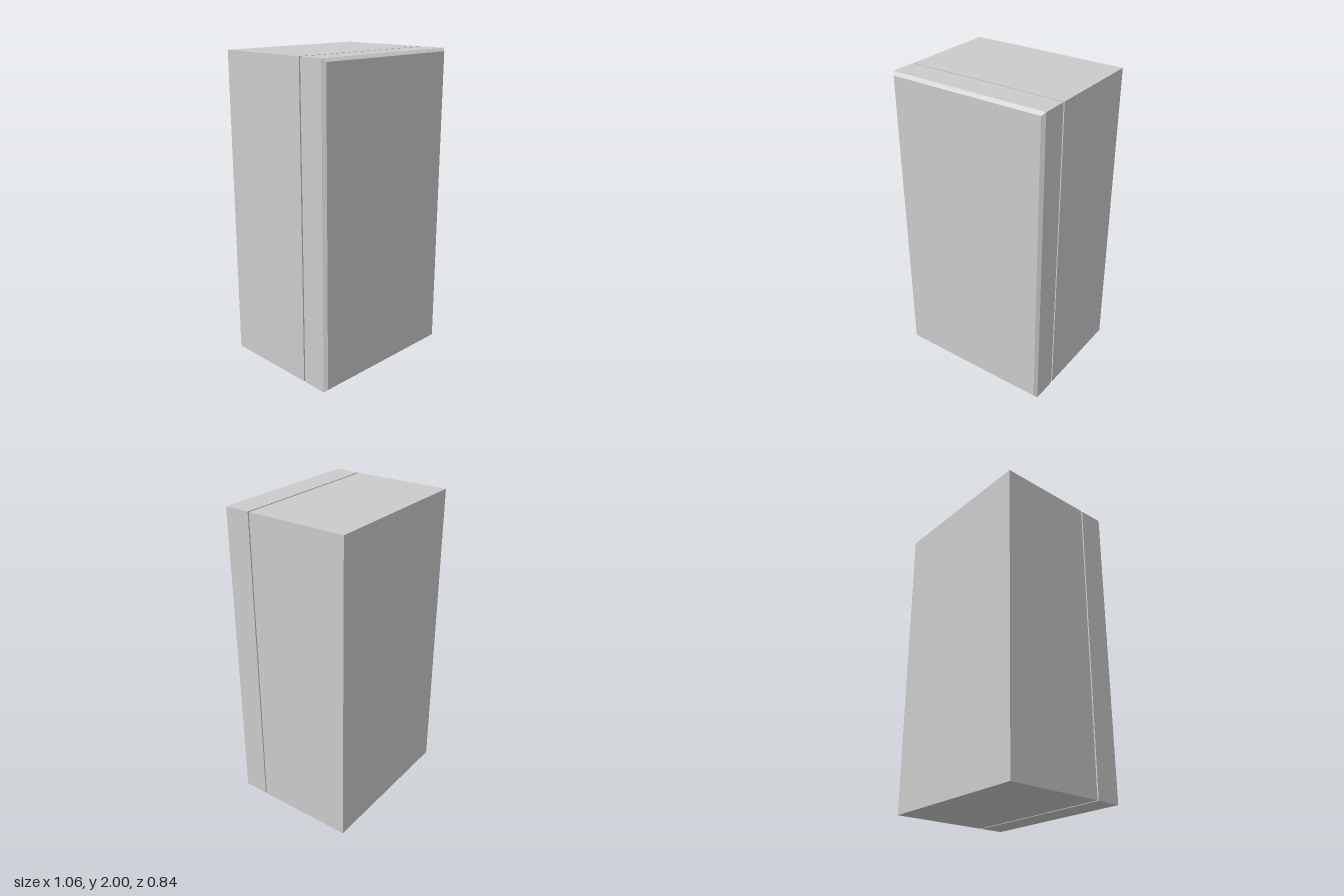
import * as THREE from 'three';

const W = 1.06, H = 2, BACK = -0.422, FRONT = 0.422;
const GAP_BACK = 0.226, GAP_FRONT = 0.237; // seam between cabinet and door
const SEAL_INSET = 0.009, BEVEL = 0.019;

const material = new THREE.MeshStandardMaterial({ color: 0xcccccc });

// Box spanning z0..z1, inset from the outer width and height
function slab(name, z0, z1, inset = 0, depthSegments = 1) {
  const geometry = new THREE.BoxGeometry(W - 2 * inset, H - 2 * inset, z1 - z0, 1, 1, depthSegments);
  geometry.translate(0, H / 2, (z0 + z1) / 2);
  const mesh = new THREE.Mesh(geometry, material);
  mesh.name = name;
  return mesh;
}

// Door slab whose front rim is cut back by a flat bevel
function bevelledDoor() {
  const mesh = slab('door', GAP_FRONT, FRONT, 0, 2);
  const p = mesh.geometry.attributes.position;
  const mid = (GAP_FRONT + FRONT) / 2;
  for (let i = 0; i < p.count; i++) {
    const z = p.getZ(i);
    if (Math.abs(z - mid) < 1e-4) {
      p.setZ(i, FRONT - BEVEL);
    } else if (z > mid) {
      p.setX(i, p.getX(i) - Math.sign(p.getX(i)) * BEVEL);
      p.setY(i, p.getY(i) - Math.sign(p.getY(i) - H / 2) * BEVEL);
    }
  }
  mesh.geometry = mesh.geometry.toNonIndexed();
  mesh.geometry.computeVertexNormals();
  return mesh;
}

export function createModel() {
  const model = new THREE.Group();
  model.name = 'cabinet';
  model.add(
    slab('cabinetBody', BACK, GAP_BACK),
    slab('doorSeal', GAP_BACK, GAP_FRONT, SEAL_INSET),
    bevelledDoor()
  );
  return model;
}
